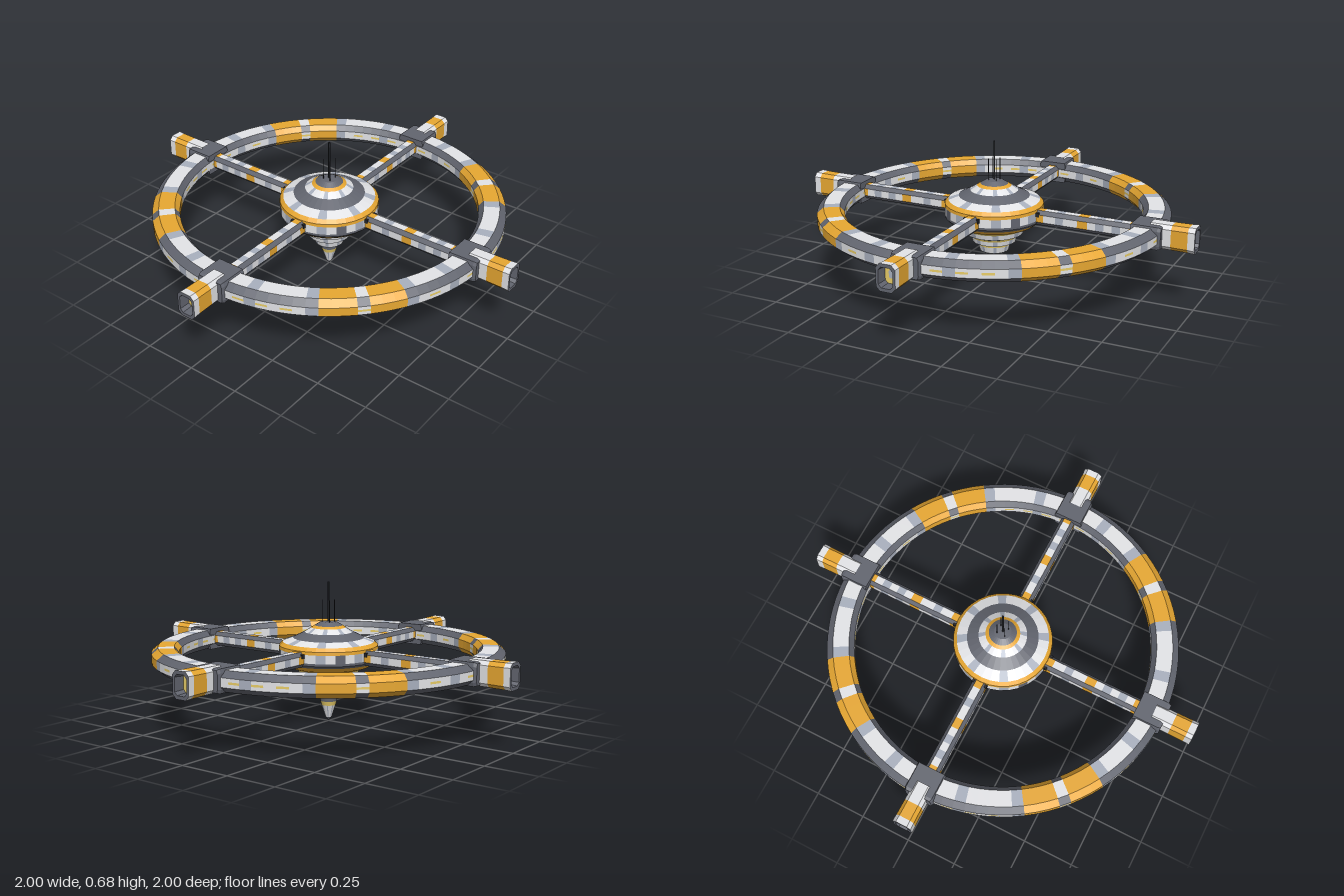
import * as THREE from 'three';

const mat = (name, color) => {
  const m = new THREE.MeshStandardMaterial({ color });
  m.name = name;
  return m;
};

export function createModel() {
  const M = {
    L: mat('light hull', 0xe4e5e8),
    S: mat('steel panel', 0xa9b0be),
    D: mat('slate hull', 0x62656f),
    Y: mat('amber paint', 0xe8a832),
    G: mat('pale gold light', 0xecd06a),
    K: mat('black antenna', 0x24262b),
  };
  const station = new THREE.Group();
  station.name = 'spaceStation';

  // Flat panelled skin: a grid of quads, one mesh per colour
  function skin(name, ni, nj, point, colour) {
    const lists = {};
    for (let i = 0; i < ni; i++) {
      for (let j = 0; j < nj; j++) {
        const a = point(i, j), b = point(i + 1, j), c = point(i + 1, j + 1), d = point(i, j + 1);
        const list = (lists[colour(i, j)] ??= []);
        for (const [p, q, r] of [[a, b, c], [a, c, d]]) {
          if (p.distanceTo(q) < 1e-6 || q.distanceTo(r) < 1e-6 || r.distanceTo(p) < 1e-6) continue;
          for (const v of [p, q, r]) list.push(v.x, v.y, v.z);
        }
      }
    }
    const group = new THREE.Group();
    group.name = name;
    for (const [key, list] of Object.entries(lists)) {
      const g = new THREE.BufferGeometry();
      g.setAttribute('position', new THREE.Float32BufferAttribute(list, 3));
      g.computeVertexNormals();
      const mesh = new THREE.Mesh(g, M[key]);
      mesh.name = `${name} ${M[key].name}`;
      group.add(mesh);
    }
    return group;
  }

  // Profile of [radius, y] points turned about the y axis
  const turned = (name, profile, segments, colour) =>
    skin(name, profile.length - 1, segments, (i, j) => {
      const a = ((j % segments) / segments) * Math.PI * 2;
      const [r, y] = profile[i];
      return new THREE.Vector3(r * Math.cos(a), y, r * Math.sin(a));
    }, colour);

  // Octagonal beam along +x; stations are [x, scale], w/h half sizes, fw/fh half flats
  const beam = (name, y0, w, h, fw, fh, stations, colour) => {
    const section = [[-fw, h], [fw, h], [w, fh], [w, -fh], [fw, -h], [-fw, -h], [-w, -fh], [-w, fh]];
    return skin(name, 8, stations.length - 1, (i, j) => {
      const [z, y] = section[i % 8];
      const [x, s] = stations[j];
      return new THREE.Vector3(x, y0 + y * s, z * s);
    }, colour);
  };

  // Outer ring: octagonal section, walls split for a window strip (W),
  // panelled rows (P), steel underside (U), bands repeating each quarter
  const ringProfile = [[0.84, 0.312], [0.84, 0.328], [0.84, 0.338], [0.84, 0.354],
    [0.808, 0.38], [0.732, 0.38], [0.71, 0.354], [0.71, 0.338], [0.71, 0.328],
    [0.71, 0.312], [0.732, 0.286], [0.808, 0.286], [0.84, 0.312]];
  const ringRows = 'PWPDPDPWPDUD';
  const ringBands = 'LLLSLLLSYYYLYYYSLLLLSLLL';
  station.add(turned('outerRing', ringProfile, 96, (i, j) => {
    const band = ringBands[j % 24], row = ringRows[i];
    if (band === 'Y') return 'Y';
    if (row === 'W') return band === 'L' && j % 2 ? 'G' : band;
    if (row === 'U') return 'S';
    return row === 'P' ? band : 'D';
  }));

  // Hub: saucer above a stepped spire; P marks panelled rows, W the window row
  const hubProfile = [[0, 0], [0.015, 0.02], [0.034, 0.08], [0.04, 0.1], [0.043, 0.12],
    [0.07, 0.135], [0.078, 0.165], [0.08, 0.175], [0.105, 0.182], [0.11, 0.205],
    [0.115, 0.215], [0.14, 0.225], [0.147, 0.25], [0.16, 0.262], [0.2, 0.275],
    [0.226, 0.296], [0.237, 0.308], [0.238, 0.32], [0.238, 0.36], [0.237, 0.375],
    [0.22, 0.392], [0.17, 0.41], [0.115, 0.437], [0.082, 0.458], [0.066, 0.468],
    [0.04, 0.484], [0, 0.487]];
  const hubRows = 'DPGDDPGDPGDPGYYDDWYYPDPYDD';
  station.add(turned('hub', hubProfile, 32, (i, j) => {
    const row = hubRows[i];
    if (row === 'P') return j % 4 === 1 ? 'S' : 'L';
    if (row === 'W') return j % 8 === 3 ? 'D' : j % 4 === 1 ? 'S' : 'L';
    return row;
  }));

  // Spokes, joints and docking arms, four times round
  const spokeX = [0.22, 0.27, 0.33, 0.37, 0.44, 0.49, 0.53, 0.57, 0.61, 0.65, 0.69, 0.73];
  const spokeBands = 'YLSLYLSLSLY';
  const dockStations = [[0.79, 0.94], [0.89, 0.95], [0.967, 0.97], [1, 1],
    [1, 0.74], [0.95, 0.68], [0.95, 0.3], [0.95, 0]];
  const dockBands = 'LYLDDGS';
  for (let k = 0; k < 4; k++) {
    const arm = new THREE.Group();
    arm.name = `arm${k + 1}`;
    arm.rotation.y = (k * Math.PI) / 2;
    arm.add(beam('spoke', 0.335, 0.035, 0.036, 0.019, 0.018, spokeX.map((x) => [x, 1]),
      (i, j) => (i % 2 ? 'D' : spokeBands[j])));
    arm.add(beam('ringJoint', 0.336, 0.072, 0.053, 0.066, 0.035,
      [[0.71, 0], [0.71, 1], [0.835, 1], [0.85, 0.92], [0.85, 0]], () => 'D'));
    arm.add(beam('dockingArm', 0.338, 0.046, 0.061, 0.028, 0.042, dockStations,
      (i, j) => dockBands[j]));
    // Small clamps where the spoke meets the hub
    for (const side of [-1, 1]) {
      const clamp = new THREE.Mesh(new THREE.BoxGeometry(0.02, 0.02, 0.012), M.K);
      clamp.name = 'hubClamp';
      clamp.position.set(0.24, 0.352, side * 0.032);
      arm.add(clamp);
    }
    station.add(arm);
  }

  // Antennas
  const antenna = (name, x, z, radius, base, top) => {
    const rod = new THREE.Mesh(new THREE.CylinderGeometry(radius, radius, top - base, 6), M.K);
    rod.name = name;
    rod.position.set(x, (base + top) / 2, z);
    station.add(rod);
  };
  antenna('mainAntenna', 0, 0, 0.005, 0.48, 0.675);
  for (const x of [-0.02, 0.02]) {
    for (const z of [-0.02, 0.02]) antenna('sideAntenna', x, z, 0.002, 0.475, 0.59);
  }
  return station;
}
